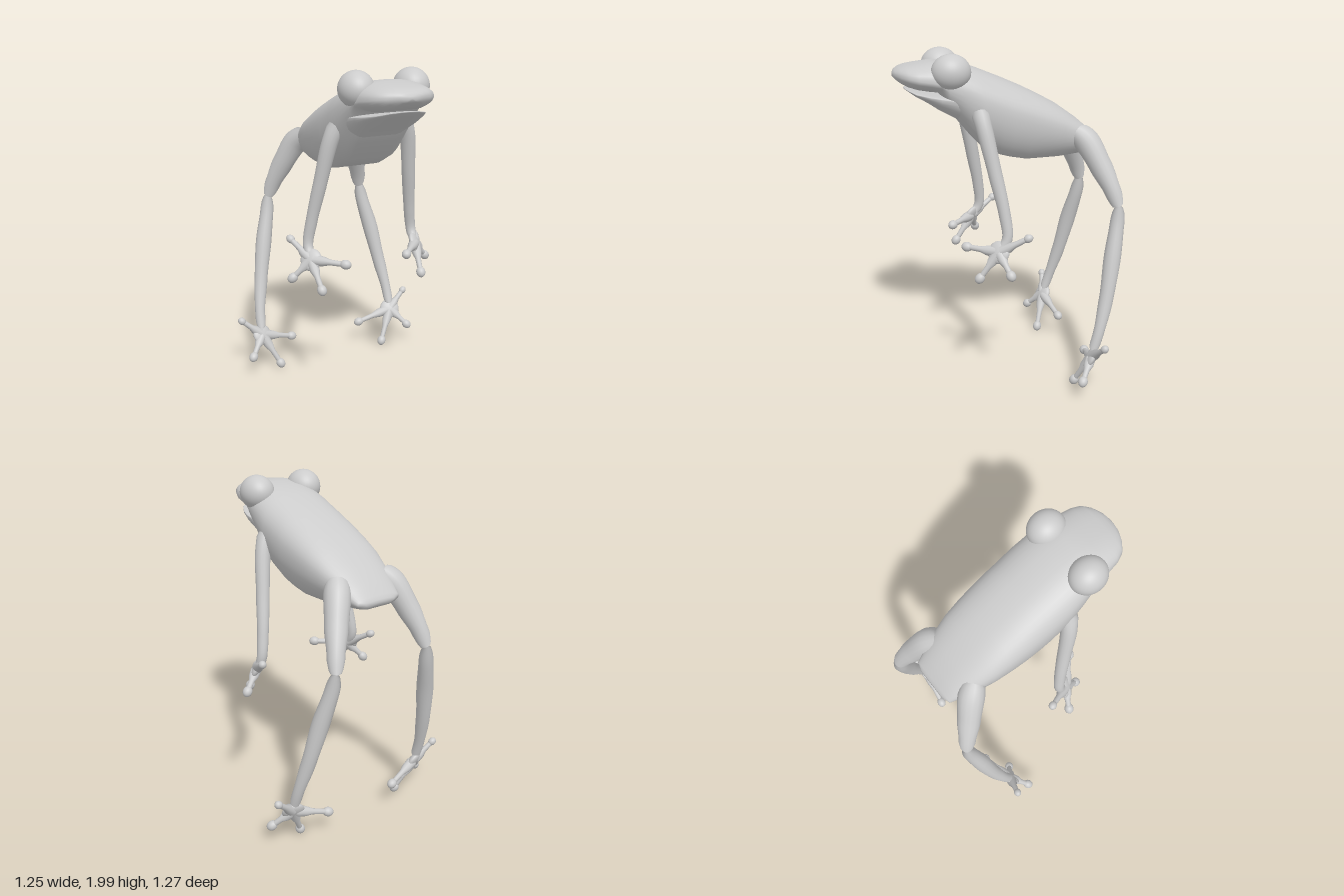
import * as THREE from 'three';

const material = new THREE.MeshStandardMaterial({ color: 0xcccccc, roughness: 0.7 });
const vec = (p, side = 1) => new THREE.Vector3(p[0] * side, p[1], p[2]);

function part(name, geometry, parent) {
  const mesh = new THREE.Mesh(geometry, material);
  mesh.name = name;
  parent.add(mesh);
  return mesh;
}

// Skin over cross-sections [z, top, bottom, halfWidth, heightOfWidestPoint],
// each with a rounded top and a flattened underside
function loft(sections, n = 40) {
  const first = sections[0], last = sections[sections.length - 1];
  const closed = (s) => [s[0], s[4], s[4], 0, s[4]];
  const rings = [closed(first), ...sections, closed(last)];
  const positions = [], index = [];
  rings.forEach(([z, top, bottom, w, mid], i) => {
    for (let j = 0; j < n; j++) {
      const a = (j / n) * Math.PI * 2, c = Math.cos(a), s = Math.sin(a);
      const x = w * Math.sign(c) * Math.abs(c) ** (s > 0 ? 0.8 : 0.9);
      const y = s > 0
        ? mid + (top - mid) * s ** 0.85
        : mid - (mid - bottom) * Math.min(1, -s * 1.17);
      positions.push(x, y, z);
      if (i < rings.length - 1) {
        const k = (j + 1) % n, p = i * n, q = p + n;
        index.push(p + j, p + k, q + j, p + k, q + k, q + j);
      }
    }
  });
  const g = new THREE.BufferGeometry();
  g.setAttribute('position', new THREE.Float32BufferAttribute(positions, 3));
  g.setIndex(index);
  g.computeVertexNormals();
  return g;
}

// Tube through points [x, y, z, radius], with rounded ends
function limb(points, side, segments = 32, radial = 16) {
  const curve = new THREE.CatmullRomCurve3(points.map((p) => vec(p, side)));
  const g = new THREE.TubeGeometry(curve, segments, 1, radial);
  const pos = g.attributes.position, nor = g.attributes.normal;
  // radius is read at the same spline parameter as the ring centre
  const last = points.length - 1;
  for (let i = 0; i <= segments; i++) {
    const u = i / segments, centre = curve.getPointAt(u);
    const f = curve.getUtoTmapping(u) * last;
    const k = Math.min(Math.floor(f), last - 1);
    const e = THREE.MathUtils.smoothstep(f - k, 0, 1);
    const end = Math.min(1, Math.min(i, segments - i) / 2);
    const r = THREE.MathUtils.lerp(points[k][3], points[k + 1][3], e)
      * Math.sqrt(1 - (1 - end) ** 2);
    for (let j = 0; j <= radial; j++) {
      const v = i * (radial + 1) + j;
      pos.setXYZ(v, centre.x + nor.getX(v) * r, centre.y + nor.getY(v) * r, centre.z + nor.getZ(v) * r);
    }
  }
  return g;
}

// Flat palm with four webbed-looking toes ending in round pads
function paw(name, palm, tips, side) {
  const group = new THREE.Group();
  group.name = name;
  const centre = vec(palm, side);
  const [a, b, c, d] = tips.map((t) => vec(t, side));
  const normal = c.clone().sub(a).cross(d.clone().sub(b)).normalize();
  const pad = part('palm', new THREE.SphereGeometry(1, 24, 16), group);
  pad.position.copy(centre);
  pad.scale.set(0.066, 0.066, 0.026);
  pad.quaternion.setFromUnitVectors(new THREE.Vector3(0, 0, 1), normal);
  tips.forEach((tip) => {
    const at = (t, r) => [...palm.map((v, i) => v + (tip[i] - v) * t), r];
    part('toe', limb([at(0, 0.034), at(0.3, 0.03), at(0.6, 0.017), at(1, 0.015)], side, 16, 12), group);
    const ball = part('toePad', new THREE.SphereGeometry(tip[3], 16, 12), group);
    ball.position.copy(vec(tip, side));
    ball.quaternion.setFromUnitVectors(new THREE.Vector3(0, 0, 1), vec(tip, side).sub(centre).normalize());
    ball.scale.z = 1.2;
  });
  return group;
}

export function createModel() {
  const model = new THREE.Group();
  model.name = 'frog';

  // Back, belly and upper head in one skin
  part('body', loft([
    [-0.565, 1.45, 1.42, 0.1, 1.435],
    [-0.55, 1.47, 1.405, 0.145, 1.44],
    [-0.5, 1.525, 1.395, 0.165, 1.46],
    [-0.42, 1.595, 1.39, 0.195, 1.5],
    [-0.3, 1.68, 1.38, 0.225, 1.55],
    [-0.2, 1.735, 1.38, 0.238, 1.58],
    [-0.1, 1.785, 1.38, 0.246, 1.61],
    [0, 1.83, 1.4, 0.25, 1.64],
    [0.06, 1.855, 1.417, 0.25, 1.66],
    [0.17, 1.9, 1.475, 0.25, 1.71],
    [0.265, 1.93, 1.59, 0.24, 1.77],
    [0.36, 1.945, 1.7, 0.222, 1.82],
    [0.4, 1.948, 1.785, 0.215, 1.84],
    [0.45, 1.947, 1.79, 0.208, 1.85],
    [0.52, 1.938, 1.802, 0.195, 1.86],
    [0.57, 1.93, 1.818, 0.172, 1.87],
    [0.605, 1.92, 1.837, 0.13, 1.875],
    [0.63, 1.905, 1.855, 0.075, 1.88],
    [0.64, 1.89, 1.866, 0.03, 1.878],
  ]), model);

  // Lower jaw, slightly open
  part('lowerJaw', loft([
    [0.2, 1.75, 1.55, 0.2, 1.7],
    [0.3, 1.765, 1.63, 0.215, 1.74],
    [0.4, 1.773, 1.685, 0.208, 1.758],
    [0.46, 1.779, 1.725, 0.19, 1.768],
    [0.53, 1.79, 1.765, 0.15, 1.782],
    [0.565, 1.799, 1.788, 0.09, 1.795],
    [0.578, 1.802, 1.797, 0.03, 1.8],
  ]), model);

  for (const side of [1, -1]) {
    const label = side > 0 ? 'left' : 'right';

    const eye = part(label + 'Eye', new THREE.SphereGeometry(1, 32, 24), model);
    eye.position.set(0.168 * side, 1.9, 0.343);
    eye.scale.set(0.098, 0.1, 0.11);

    part(label + 'Arm', limb([
      [0.2, 1.71, 0.2, 0.055], [0.245, 1.6, 0.18, 0.046], [0.288, 1.35, 0.13, 0.04],
      [0.325, 1.12, 0.085, 0.034], [0.345, 0.98, 0.075, 0.03], [0.345, 0.91, 0.115, 0.026],
    ], side), model);
    model.add(paw(label + 'Hand', [0.348, 0.905, 0.125], [
      [0.41, 0.995, -0.03, 0.024], [0.447, 0.795, 0.08, 0.028],
      [0.33, 0.75, 0.232, 0.028], [0.2, 0.9, 0.277, 0.028],
    ], side));

    part(label + 'Thigh', limb([
      [0.15, 1.54, -0.38, 0.06], [0.195, 1.48, -0.44, 0.075], [0.255, 1.34, -0.51, 0.066],
      [0.305, 1.2, -0.57, 0.05], [0.33, 1.1, -0.602, 0.034],
    ], side), model);
    part(label + 'Shin', limb([
      [0.33, 1.13, -0.605, 0.028], [0.345, 1.02, -0.59, 0.042], [0.39, 0.82, -0.55, 0.05],
      [0.435, 0.58, -0.503, 0.042], [0.468, 0.38, -0.45, 0.032], [0.475, 0.26, -0.412, 0.03],
    ], side), model);
    model.add(paw(label + 'Foot', [0.475, 0.235, -0.407], [
      [0.597, 0.34, -0.44, 0.023], [0.567, 0.13, -0.325, 0.028],
      [0.377, 0.038, -0.34, 0.028], [0.253, 0.162, -0.448, 0.028],
    ], side));
  }
  return model;
}
